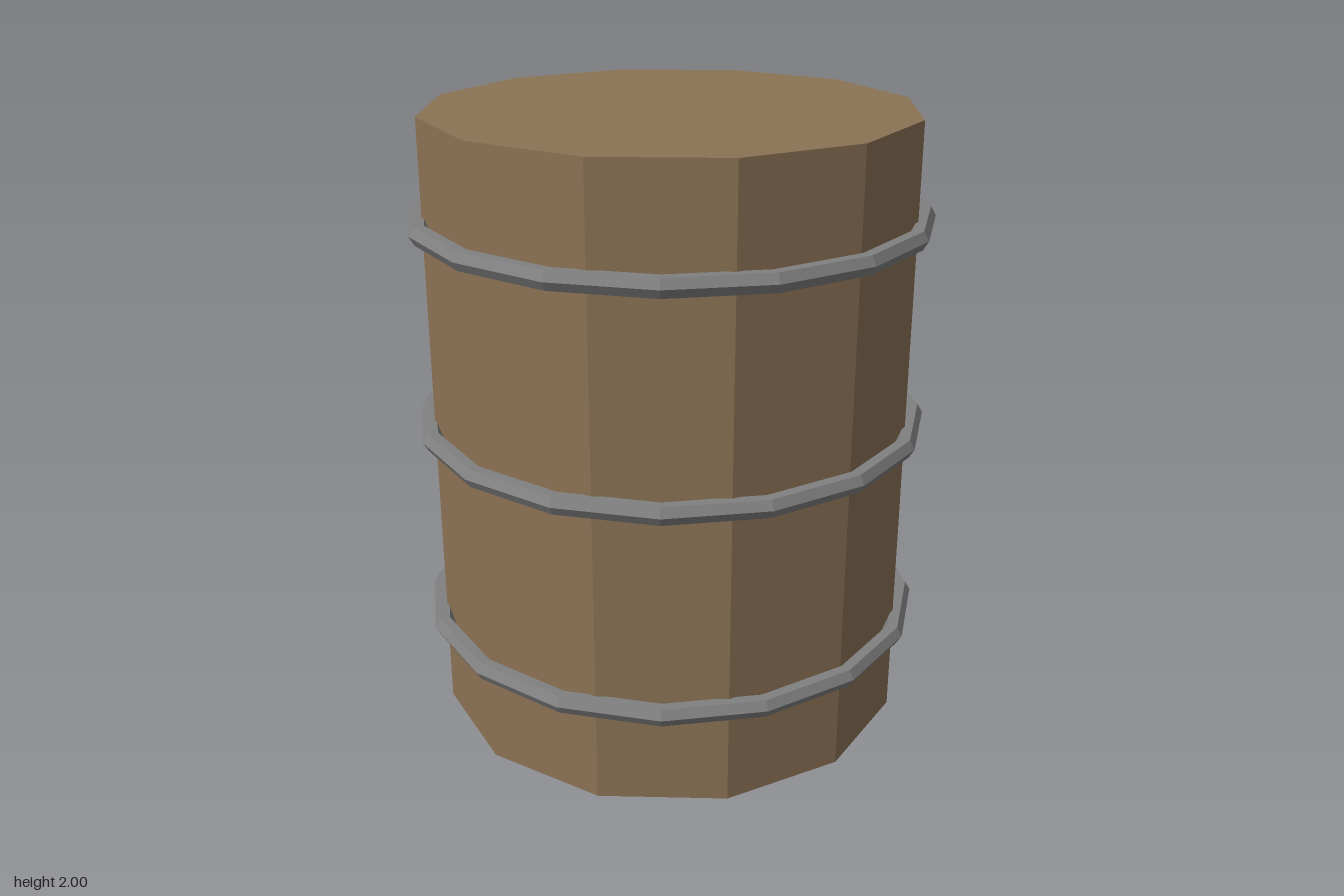
import * as THREE from 'three';

export function createModel() {
  const model = new THREE.Group();
  model.name = 'barrel';
  const wood = new THREE.MeshStandardMaterial({ color: 0x8b7355, flatShading: true });
  const metal = new THREE.MeshStandardMaterial({ color: 0x808080, flatShading: true });

  // Twelve-sided wooden body
  const body = new THREE.Mesh(new THREE.CylinderGeometry(0.778, 0.778, 2, 12), wood);
  body.name = 'body';
  body.position.y = 1;
  model.add(body);

  // Three evenly spaced metal hoops
  const hoopGeometry = new THREE.TorusGeometry(0.8, 0.0333, 6, 16).rotateX(Math.PI / 2);
  ['lowerHoop', 'middleHoop', 'upperHoop'].forEach((name, i) => {
    const hoop = new THREE.Mesh(hoopGeometry, metal);
    hoop.name = name;
    hoop.position.y = (1 + 2 * i) / 3;
    model.add(hoop);
  });

  return model;
}
